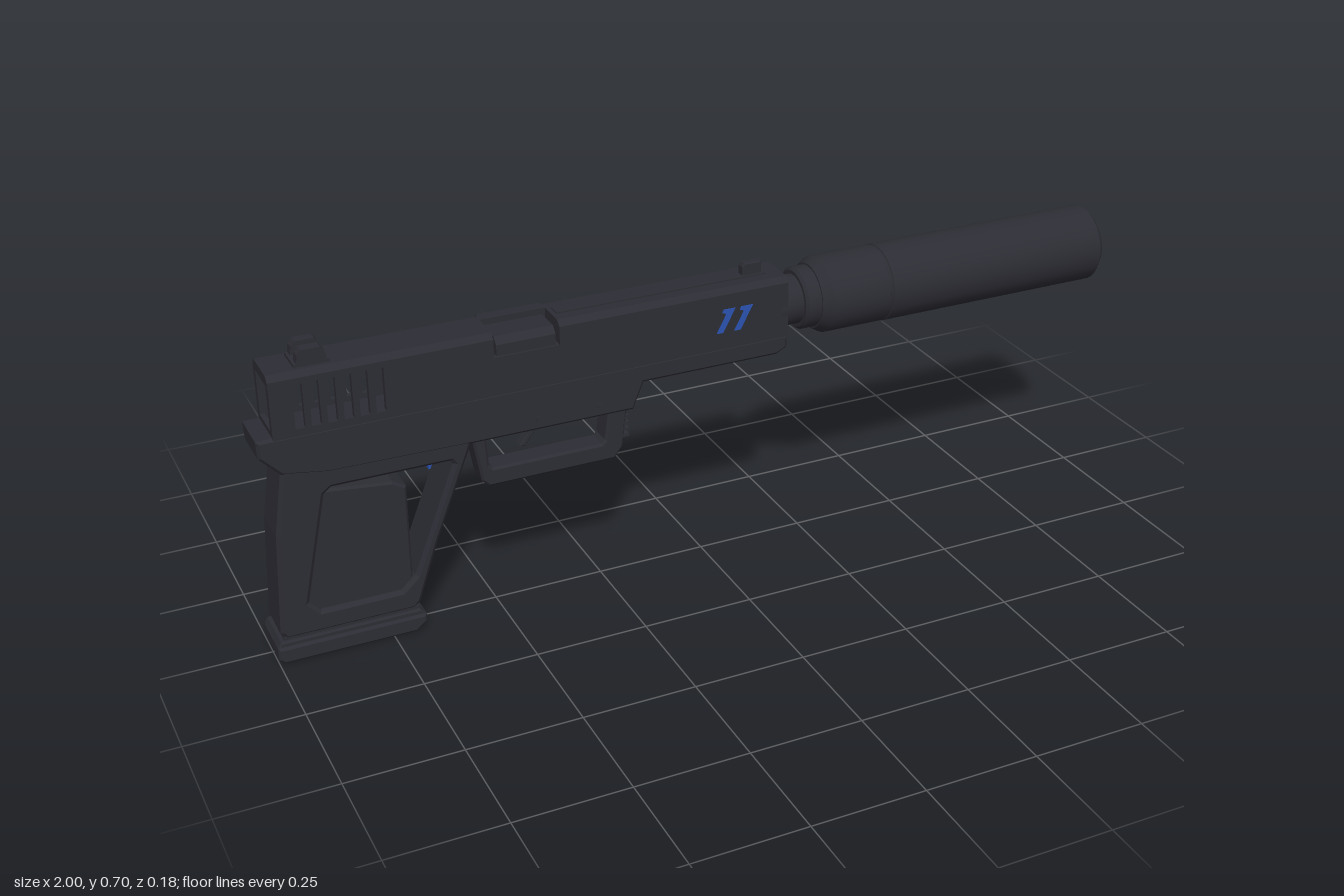
import * as THREE from 'three';
import { toCreasedNormals } from 'three/addons/utils/BufferGeometryUtils.js';

const body = new THREE.MeshStandardMaterial({ color: 0x2c2c34 });
body.name = 'darkBody';
const blue = new THREE.MeshStandardMaterial({ color: 0x2a52b0 });
blue.name = 'blueAccent';

const toPath = (pts, C = THREE.Path) => new C(pts.map(p => new THREE.Vector2(p[0], p[1])));

// Side-profile extrusion between z0 and z1, with chamfered edges
function profile(pts, z0, z1, bevel = 0, holes = []) {
  const shape = toPath(pts, THREE.Shape);
  holes.forEach(h => shape.holes.push(toPath(h)));
  const g = new THREE.ExtrudeGeometry(shape, {
    depth: z1 - z0 - 2 * bevel, bevelEnabled: bevel > 0, bevelSegments: 1,
    bevelSize: bevel, bevelThickness: bevel, bevelOffset: -bevel, curveSegments: 10,
  });
  return g.translate(0, 0, z0 + bevel);
}

// Cross-section (z, y) extruded along x
function section(pts, x0, x1, holes = []) {
  const g = profile(pts, 0, x1 - x0, 0, holes);
  return g.rotateY(Math.PI / 2).translate(x0, 0, 0);
}

const rect = (x0, x1, y0, y1) => [[x0, y0], [x1, y0], [x1, y1], [x0, y1]];

function box(x0, x1, y0, y1, z0, z1) {
  return new THREE.BoxGeometry(x1 - x0, y1 - y0, z1 - z0)
    .translate((x0 + x1) / 2, (y0 + y1) / 2, (z0 + z1) / 2);
}

export function createModel() {
  const model = new THREE.Group();
  const add = (name, geo, mat = body, parent = model) => {
    const m = new THREE.Mesh(geo, mat);
    m.name = name;
    parent.add(m);
    return m;
  };
  const group = name => {
    const g = new THREE.Group();
    g.name = name;
    model.add(g);
    return g;
  };

  // Slide: solid front and middle, cut away on one side for the port
  const slide = group('slide');
  const cs = [[-0.055, 0.515], [0.055, 0.515], [0.055, 0.648], [0.043, 0.66], [-0.043, 0.66], [-0.055, 0.648]];
  add('slideFront', section(cs, -0.35, 0.185), body, slide);
  add('slideMiddle', section(cs, -0.7, -0.495), body, slide);
  add('portFloor', box(-0.495, -0.35, 0.515, 0.607, -0.055, 0.055), body, slide);
  add('portWall', box(-0.495, -0.35, 0.6, 0.66, -0.054, -0.025), body, slide);
  add('barrelHood', section([[-0.026, 0.6], [0.05, 0.6], [0.05, 0.632], [0.036, 0.646], [-0.026, 0.646]]
    .map(([z, y]) => [-z, y]).reverse(), -0.488, -0.357), body, slide);

  // Hollow rear of the slide with see-through slots
  const slots = [];
  for (let i = 0; i < 6; i++) {
    const x = -0.917 + i * 0.0335;
    slots.push(rect(x, x + 0.02, 0.537, 0.635));
  }
  const wall = rect(-0.955, -0.7, 0.515, 0.648);
  add('slottedWallLeft', profile(wall, 0.043, 0.055, 0, slots), body, slide);
  add('slottedWallRight', profile(wall, -0.055, -0.043, 0, slots), body, slide);
  add('slideRoof', section([[-0.055, 0.642], [0.055, 0.642], [0.055, 0.648], [0.043, 0.66],
    [-0.043, 0.66], [-0.055, 0.648]], -0.965, -0.7), body, slide);
  add('rearWindow', section(cs, -0.965, -0.955, [rect(-0.04, 0.04, 0.537, 0.637)]), body, slide);
  add('topRib', box(-0.34, 0.15, 0.655, 0.663, -0.016, 0.016), body, slide);

  // Sights
  const sights = group('sights');
  add('frontSight', profile([[0.095, 0.655], [0.14, 0.655], [0.14, 0.69], [0.1, 0.69], [0.095, 0.682]],
    -0.01, 0.01, 0.002), body, sights);
  add('rearSightBase', box(-0.905, -0.83, 0.655, 0.667, -0.034, 0.034), body, sights);
  const post = [[-0.9, 0.66], [-0.835, 0.66], [-0.84, 0.688], [-0.848, 0.696], [-0.888, 0.696], [-0.896, 0.685]];
  add('rearSightLeft', profile(post, 0.011, 0.034), body, sights);
  add('rearSightRight', profile(post, -0.034, -0.011), body, sights);

  // Frame under the slide
  const frame = group('frame');
  add('frameRail', profile([[-1, 0.525], [-0.998, 0.485], [-0.955, 0.44], [-0.86, 0.425], [-0.55, 0.42],
    [-0.185, 0.42], [-0.16, 0.48], [0.16, 0.48], [0.185, 0.493], [0.185, 0.525]], -0.056, 0.056, 0.006), body, frame);
  add('accessoryRail', box(-0.15, 0.14, 0.472, 0.484, -0.03, 0.03), body, frame);
  for (const [x, y] of [[-0.26, 0.445], [-0.4, 0.445]]) {
    add('framePin', new THREE.CylinderGeometry(0.009, 0.009, 0.116, 12).rotateX(Math.PI / 2).translate(x, y, 0), body, frame);
  }
  add('slideStop', profile(rect(-0.495, -0.38, 0.462, 0.5), -0.062, -0.05, 0.004), body, frame);
  add('takedownLever', profile(rect(-0.33, -0.26, 0.462, 0.5), -0.062, -0.05, 0.004), body, frame);

  // Grip with an opening behind the front strap
  const grip = group('grip');
  add('gripShell', profile([[-0.955, 0.45], [-0.978, 0.3], [-0.99, 0.07], [-0.98, 0.055], [-0.7, 0.055], [-0.685, 0.068],
    [-0.64, 0.2], [-0.55, 0.425], [-0.6, 0.45]], -0.054, 0.054, 0.008,
    [[[-0.872, 0.375], [-0.855, 0.388], [-0.6, 0.388], [-0.595, 0.38], [-0.692, 0.135], [-0.725, 0.105],
      [-0.9, 0.105], [-0.924, 0.13]]]), body, grip);
  add('gripPanel', profile([[-0.885, 0.38], [-0.86, 0.38], [-0.725, 0.365], [-0.696, 0.348], [-0.696, 0.09],
    [-0.935, 0.09], [-0.93, 0.14]], -0.043, 0.043, 0.005), body, grip);

  // Magazine base plate with a groove
  const base = group('magazineBase');
  add('basePlate', profile([[-1, 0.01], [-0.99, 0], [-0.7, 0], [-0.675, 0.02], [-0.676, 0.038], [-1, 0.038]],
    -0.058, 0.058, 0.005), body, base);
  add('baseCore', box(-0.985, -0.69, 0.03, 0.06, -0.05, 0.05), body, base);
  add('baseLip', profile([[-1, 0.041], [-0.677, 0.041], [-0.69, 0.053], [-0.993, 0.053]], -0.058, 0.058, 0.003), body, base);

  // Trigger guard, front ribs and trigger
  const guard = group('triggerGuard');
  add('guardLoop', profile([[-0.545, 0.425], [-0.525, 0.31], [-0.51, 0.295], [-0.22, 0.295], [-0.2, 0.32],
    [-0.19, 0.4], [-0.18, 0.43], [-0.54, 0.43]], -0.028, 0.028, 0.005,
    [[[-0.512, 0.415], [-0.508, 0.345], [-0.5, 0.337], [-0.25, 0.337], [-0.242, 0.345], [-0.232, 0.415]]]), body, guard);
  for (let i = 0; i < 4; i++) {
    const y = 0.343 + i * 0.015;
    add('guardRib', box(-0.21, -0.185, y, y + 0.007, -0.027, 0.027), body, guard);
  }
  add('trigger', profile([[-0.415, 0.425], [-0.413, 0.395], [-0.432, 0.368], [-0.42, 0.366], [-0.4, 0.392],
    [-0.385, 0.425]], -0.013, 0.013, 0.002), body, guard);

  // Ribbed release button
  const button = group('releaseButton');
  add('buttonBase', box(-0.62, -0.575, 0.327, 0.374, -0.059, -0.045), blue, button);
  for (let i = 0; i < 4; i++) {
    const y = 0.329 + i * 0.0122;
    add('buttonRib', box(-0.62, -0.575, y, y + 0.007, -0.064, -0.055), blue, button);
  }

  // Lanyard tab with a round eye, on the right side
  const tab = new THREE.Shape();
  tab.moveTo(-0.064, 0.515);
  tab.lineTo(-0.067, 0.448);
  tab.absarc(-0.04, 0.448, 0.027, Math.PI, 2 * Math.PI, false);
  tab.lineTo(-0.016, 0.515);
  const eye = new THREE.Path();
  eye.absarc(-0.04, 0.448, 0.011, 0, 2 * Math.PI, true);
  tab.holes.push(eye);
  add('lanyardTab', new THREE.ExtrudeGeometry(tab, { depth: 0.012, bevelEnabled: false }).translate(0, 0, -0.063));
  add('tabScrew', new THREE.CylinderGeometry(0.008, 0.008, 0.01, 12).rotateX(Math.PI / 2).translate(-0.04, 0.487, -0.061));

  // Slanted accent stripes on both sides
  for (const x of [0.012, 0.054]) {
    const stripe = [[x, 0.56], [x + 0.015, 0.56], [x + 0.044, 0.614], [x + 0.016, 0.614], [x + 0.013, 0.607], [x + 0.023, 0.603]];
    add('stripeLeft', profile(stripe, 0.053, 0.057), blue);
    add('stripeRight', profile(stripe, -0.057, -0.053), blue);
  }

  // Barrel collar and suppressor, turned about the x axis: [radius, x]
  const turned = pts => toCreasedNormals(new THREE.LatheGeometry(
    pts.map(p => new THREE.Vector2(p[0], p[1])), 32), 0.5).rotateZ(-Math.PI / 2).translate(0, 0.581, 0);
  const muzzle = group('muzzle');
  add('barrelCollar', turned([[0, 0.17], [0.056, 0.17], [0.056, 0.225], [0.064, 0.225], [0.07, 0.231],
    [0.07, 0.27], [0, 0.27]]), body, muzzle);
  add('suppressor', turned([[0, 0.262], [0.074, 0.262], [0.087, 0.284], [0.087, 0.427], [0.0845, 0.429], [0.0845, 0.433],
    [0.088, 0.435], [0.088, 0.985], [0.073, 1], [0.022, 1], [0.022, 0.965], [0, 0.965]]), body, muzzle);

  return model;
}
